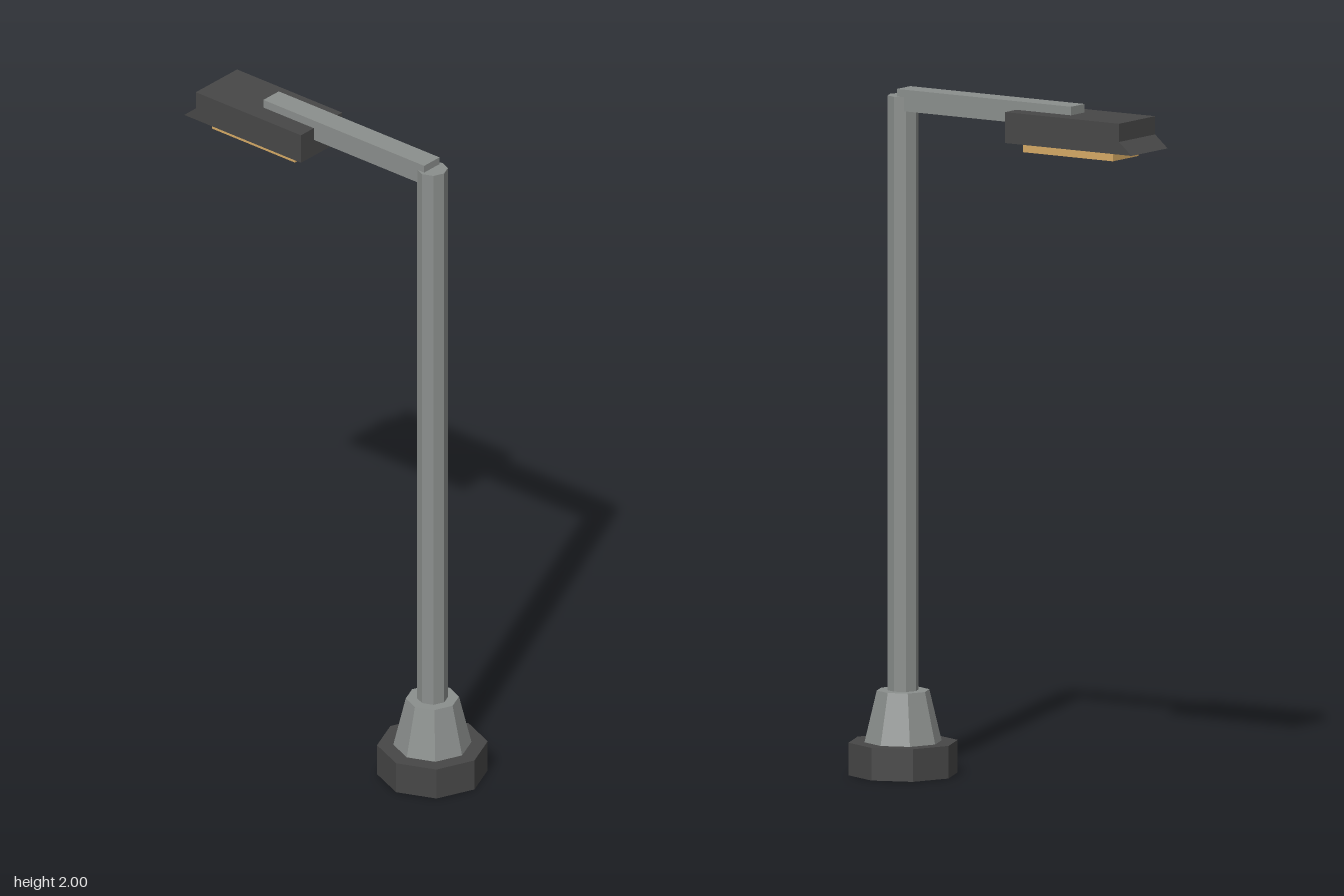
import * as THREE from 'three';

const mat = (name, color) => {
  const m = new THREE.MeshStandardMaterial({ color, flatShading: true });
  m.name = name;
  return m;
};

export function createModel() {
  const group = new THREE.Group();
  const steel = mat('grey steel', 0x8b8f8d);
  const iron = mat('dark iron', 0x474747);
  const glow = mat('amber lens', 0xd6aa66);

  const add = (name, geometry, material) => {
    const mesh = new THREE.Mesh(geometry, material);
    mesh.name = name;
    group.add(mesh);
  };
  // Octagonal post section standing at x = 0.35
  const post = (name, material, rTop, rBottom, y0, y1) =>
    add(name, new THREE.CylinderGeometry(rTop, rBottom, y1 - y0, 8)
      .translate(0.352, (y0 + y1) / 2, 0), material);
  // Box given by its limits in x and y and its half depth
  const box = (name, material, x0, x1, y0, y1, halfZ) =>
    add(name, new THREE.BoxGeometry(x1 - x0, y1 - y0, halfZ * 2)
      .translate((x0 + x1) / 2, (y0 + y1) / 2, 0), material);

  post('base', iron, 0.16, 0.16, 0, 0.095);
  post('collar', steel, 0.077, 0.113, 0.095, 0.245);
  post('pole', steel, 0.045, 0.045, 0.245, 1.978);
  box('arm', steel, -0.262, 0.35, 1.937, 2, 0.034);
  box('lampHead', iron, -0.47, -0.07, 1.885, 1.975, 0.091);
  box('lens', glow, -0.43, -0.115, 1.859, 1.885, 0.065);

  // Wedge-shaped lip at the outer end of the head
  const lip = new THREE.Shape([
    new THREE.Vector2(-0.514, 1.885),
    new THREE.Vector2(-0.47, 1.885),
    new THREE.Vector2(-0.47, 1.922),
  ]);
  add('headLip', new THREE.ExtrudeGeometry(lip, { depth: 0.182, bevelEnabled: false })
    .translate(0, 0, -0.091), iron);

  return group;
}
